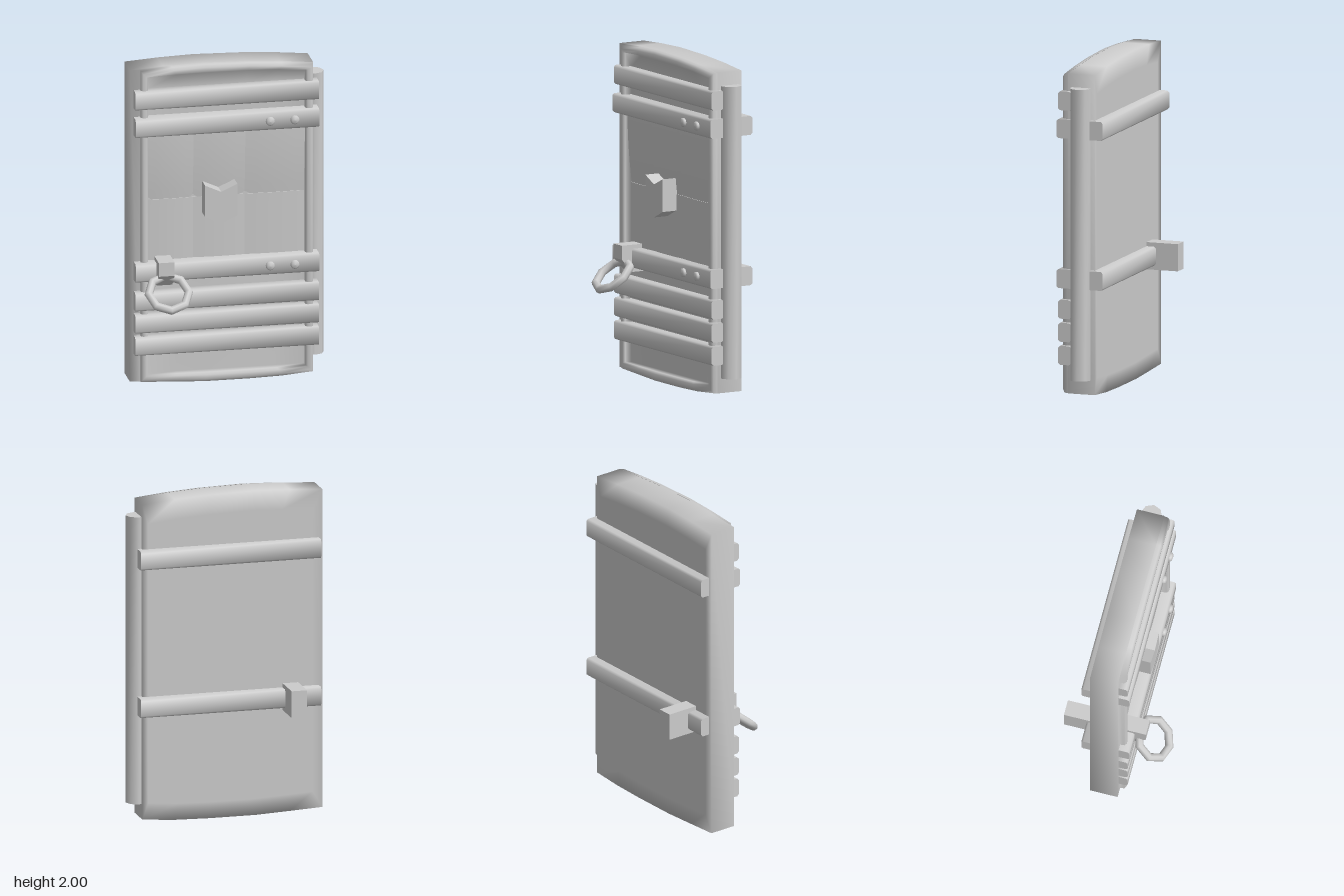
import * as THREE from 'three';
import { toCreasedNormals } from 'three/addons/utils/BufferGeometryUtils.js';

export function createModel() {
  const root = new THREE.Group();
  const mat = new THREE.MeshStandardMaterial({ color: 0xcccccc });
  const add = (name, geo, x = 0, y = 0, z = 0) => {
    const m = new THREE.Mesh(geo, mat);
    m.name = name;
    m.position.set(x, y, z);
    root.add(m);
    return m;
  };

  // Door slab: loops stitched from the back face, over the sides and rail, into the panel
  const steps = [0, 0.18, 0.37, 0.63, 0.82, 1];
  const topArc = [-0.02, -0.007, 0, -0.007, -0.02, -0.04];
  const bottomArc = [0.02, 0.01, 0, 0, 0.005, 0.02];
  const N = steps.length, L = 2 * N;
  // each loop: left x, right x, bottom y, top y, z, strength of the arc
  const loops = [
    [-0.54, 0.48, 0.1, 1.88, -0.13, 1],
    [-0.6, 0.515, 0, 2, -0.13, 1],
    [-0.6, 0.515, 0, 2, 0.04, 1],
    [-0.54, 0.513, 0, 2, 0.04, 1],
    [-0.538, 0.51, 0.003, 1.997, 0.065, 1],
    [-0.525, 0.5, 0.02, 1.98, 0.077, 1],
    [-0.505, 0.475, 0.045, 1.955, 0.077, 0.7],
    [-0.495, 0.463, 0.06, 1.945, 0.065, 0.3],
    [-0.49, 0.46, 0.065, 1.85, 0.025, 0],
  ];
  const pos = [], idx = [];
  for (const [x0, x1, yb, yt, z, arc] of loops) {
    for (let j = 0; j < N; j++) pos.push(x0 + (x1 - x0) * steps[j], yb + bottomArc[j] * arc, z);
    for (let j = N - 1; j >= 0; j--) pos.push(x0 + (x1 - x0) * steps[j], yt + topArc[j] * arc, z);
  }
  for (let k = 0; k < loops.length - 1; k++) {
    for (let i = 0; i < L; i++) {
      const a = k * L + i, b = k * L + (i + 1) % L, c = b + L, d = a + L;
      idx.push(a, b, c, a, c, d);
    }
  }
  const last = (loops.length - 1) * L;
  for (let j = 0; j < N - 1; j++) {
    const a = j, b = j + 1, c = L - 2 - j, d = L - 1 - j;
    idx.push(a, c, b, a, d, c);
    idx.push(last + a, last + b, last + c, last + a, last + c, last + d);
  }
  const slab = new THREE.BufferGeometry();
  slab.setAttribute('position', new THREE.Float32BufferAttribute(pos, 3));
  slab.setIndex(idx);
  slab.computeVertexNormals();
  add('doorSlab', slab);

  // Boards in two rows; the upper row curls back towards the seam
  const edges = [-0.492, -0.215, 0.1, 0.462];
  for (let c = 0; c < 3; c++) {
    for (const [name, y0, y1] of [['lowerBoard', 0.7, 1.155], ['upperBoard', 1.155, 1.65]]) {
      const w = edges[c + 1] - edges[c], h = y1 - y0;
      const g = new THREE.BoxGeometry(w, h, 0.06, 6, 8, 1);
      const p = g.attributes.position;
      for (let i = 0; i < p.count; i++) {
        if (p.getZ(i) < 0) continue;
        const u = p.getX(i) / w * 2, v = p.getY(i) / h + 0.5;
        const curl = name === 'upperBoard' ? 0.03 * (1 - (1 - v) ** 2) : 0.005;
        p.setZ(i, 0.03 + curl - 0.007 * u * u);
      }
      g.computeVertexNormals();
      add(name, g, (edges[c] + edges[c + 1]) / 2, (y0 + y1) / 2, 0);
    }
  }

  // Chamfered crossbars; two of them run through to the back
  const bar = (name, y0, y1, z0, z1) => {
    const k = 0.012, s = new THREE.Shape();
    [[-z1, y0 + k], [-z1 + k, y0], [-z0 - k, y0], [-z0, y0 + k],
      [-z0, y1 - k], [-z0 - k, y1], [-z1 + k, y1], [-z1, y1 - k]]
      .forEach(([u, v], i) => (i ? s.lineTo(u, v) : s.moveTo(u, v)));
    const g = new THREE.ExtrudeGeometry(s, { depth: 1.117, bevelEnabled: false });
    g.rotateY(Math.PI / 2);
    add(name, toCreasedNormals(g, 1), -0.577, 0, 0);
  };
  for (const y of [0.195, 0.335, 0.475, 1.74]) bar('frontBar', y, y + 0.115, 0.01, 0.095);
  for (const y of [0.66, 1.57]) bar('throughBar', y, y + 0.115, -0.19, 0.105);

  // Rivets on the hinge side of the through bars
  for (const y of [0.718, 1.628]) {
    for (const x of [0.24, 0.39]) {
      const profile = [[0.027, 0], [0.027, 0.014], [0.018, 0.021], [0, 0.024]]
        .map(([r, h]) => new THREE.Vector2(r, h));
      const g = new THREE.LatheGeometry(profile, 12);
      g.rotateX(Math.PI / 2);
      add('rivet', g, x, y, 0.102);
    }
  }

  // Hinge pole
  add('hingePole', toCreasedNormals(new THREE.CylinderGeometry(0.065, 0.065, 1.77, 8), 1), 0.53, 0.995, -0.045);

  // Notched shield plate
  const shield = new THREE.Shape();
  [[-0.16, 1.255], [-0.16, 1.057], [-0.062, 1.01], [0.036, 1.057], [0.036, 1.255], [-0.062, 1.21]]
    .forEach(([x, y], i) => (i ? shield.lineTo(x, y) : shield.moveTo(x, y)));
  add('shieldPlate', new THREE.ExtrudeGeometry(shield, { depth: 0.11, bevelEnabled: false }), 0, 0, 0.02);

  // Latch block through the door, its front cut back below
  const latch = new THREE.Shape();
  [[0.33, 0.635], [-0.1, 0.635], [-0.175, 0.715], [-0.175, 0.8], [0.33, 0.8]]
    .forEach(([u, y], i) => (i ? latch.lineTo(u, y) : latch.moveTo(u, y)));
  const latchGeo = new THREE.ExtrudeGeometry(latch, { depth: 0.096, bevelEnabled: false });
  latchGeo.rotateY(Math.PI / 2);
  add('latchBlock', latchGeo, -0.45, 0, 0);

  // Pull ring, hanging outwards
  const ring = add('pullRing', new THREE.TorusGeometry(0.122, 0.026, 8, 8), -0.397, 0.62, 0.212);
  ring.rotation.x = -0.877;

  return root;
}
